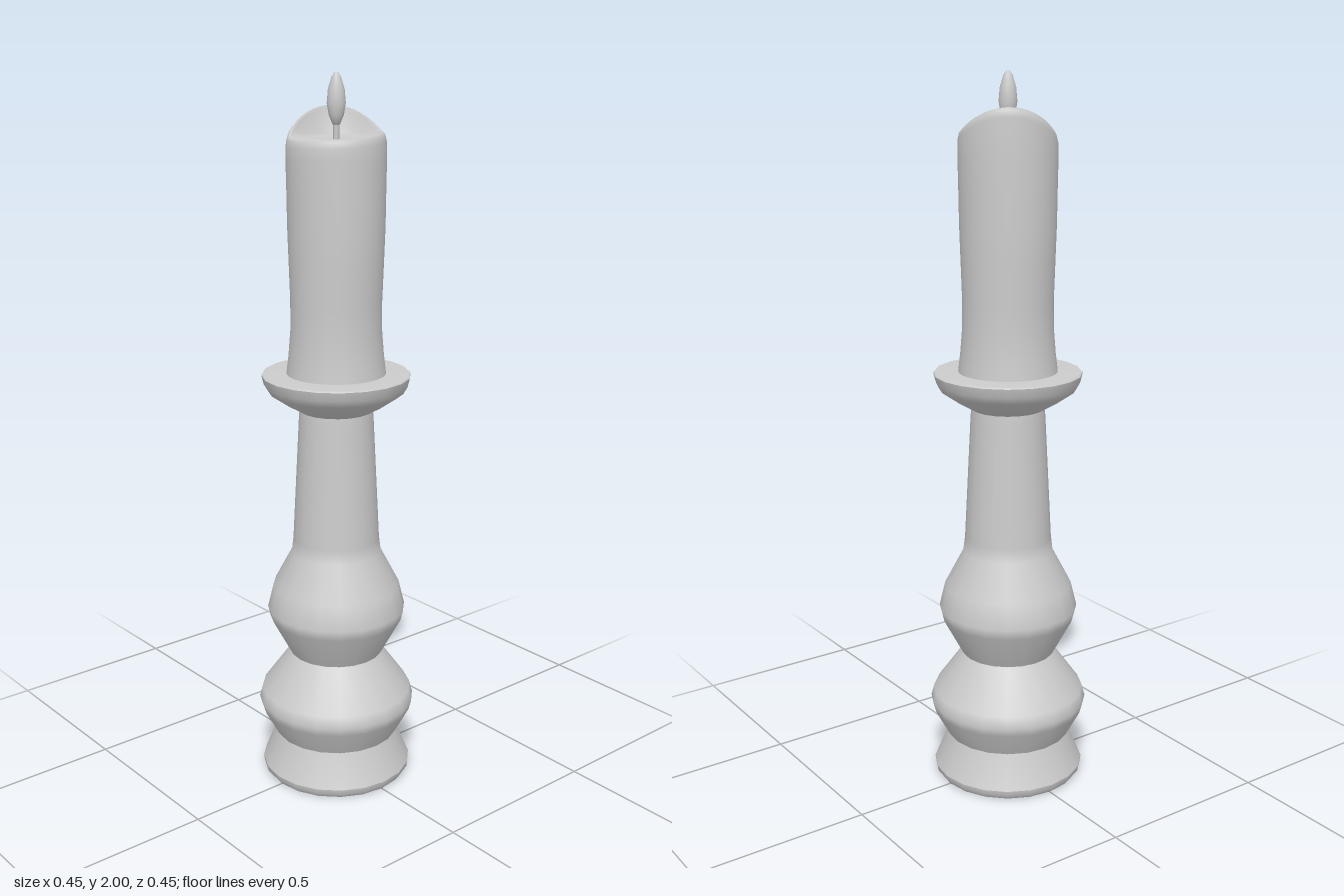
import * as THREE from 'three';
import { mergeVertices } from 'three/addons/utils/BufferGeometryUtils.js';

const material = new THREE.MeshStandardMaterial({ color: 0xcccccc, side: THREE.DoubleSide });

// Turned part from [radius, height] pairs, listed bottom to top on the outside
function turned(name, profile, segments) {
  const points = profile.map(([r, y]) => new THREE.Vector2(r, y));
  const mesh = new THREE.Mesh(new THREE.LatheGeometry(points, segments), material);
  mesh.name = name;
  return mesh;
}

// Height of the melted candle rim around its circumference
function rimHeight(x, z) {
  const a = Math.atan2(z, x);
  const peak = Math.max(0, Math.cos(a - Math.atan2(-0.5, -0.87)));
  return 1.841 + 0.064 * Math.pow(peak, 1.5) - 0.008 * Math.sin(a);
}

function makeCandle() {
  // Heights above 3 are offsets from the wavy rim
  const profile = [
    [0.137, 1.2], [0.131, 1.25], [0.126, 1.32], [0.126, 1.4], [0.129, 1.5],
    [0.131, 1.6], [0.131, 1.7], [0.132, 1.78],
    [0.131, 3.977], [0.127, 3.993], [0.121, 4.0], [0.115, 3.994],
    [0.108, 1.836], [0.09, 1.831], [0.05, 1.829], [0, 1.828],
  ];
  const candle = turned('candle', profile, 40);
  const geo = candle.geometry;
  const pos = geo.attributes.position;
  for (let i = 0; i < pos.count; i++) {
    const x = pos.getX(i), y = pos.getY(i), z = pos.getZ(i);
    if (y > 3) pos.setY(i, y - 4 + rimHeight(x, z));
    // Soft unevenness of the wax
    if (y > 1.25 && Math.hypot(x, z) > 0.1) {
      const k = 1 + 0.012 * Math.sin(2 * Math.atan2(z, x) + Math.min(y, 1.8) * 9);
      pos.setX(i, x * k);
      pos.setZ(i, z * k);
    }
  }
  // Weld the seam so the wax shades smoothly all round
  geo.deleteAttribute('uv');
  geo.deleteAttribute('normal');
  candle.geometry = mergeVertices(geo, 1e-5);
  candle.geometry.computeVertexNormals();
  return candle;
}

export function createModel() {
  const group = new THREE.Group();
  const sides = 20;

  // Holder, split where its outline has hard edges
  const holder = new THREE.Group();
  holder.name = 'candleHolder';
  holder.add(
    turned('underside', [[0, 0], [0.205, 0]], sides),
    turned('footRim', [[0.205, 0], [0.214, 0.012], [0.216, 0.027]], sides),
    turned('foot', [[0.216, 0.027], [0.195, 0.075], [0.178, 0.125]], sides),
    turned('lowerBulb', [[0.178, 0.125], [0.218, 0.2], [0.225, 0.225], [0.216, 0.258], [0.133, 0.373]], sides),
    turned('upperBulbAndStem', [[0.133, 0.373], [0.19, 0.48], [0.197, 0.51], [0.18, 0.58], [0.127, 0.68],
      [0.122, 0.72], [0.104, 1.07], [0.102, 1.095]], sides),
    turned('cup', [[0.102, 1.095], [0.14, 1.117], [0.188, 1.15], [0.2, 1.17], [0.206, 1.195]], sides),
    turned('cupTop', [[0.206, 1.195], [0.202, 1.2], [0.12, 1.2], [0, 1.2]], sides),
  );

  group.add(
    holder,
    makeCandle(),
    turned('wick', [[0.008, 1.825], [0.008, 1.875]], 8),
    turned('flame', [[0, 1.862], [0.01, 1.866], [0.02, 1.89], [0.025, 1.92], [0.022, 1.955],
      [0.013, 1.985], [0.006, 1.997], [0, 2]], 16),
  );
  return group;
}
